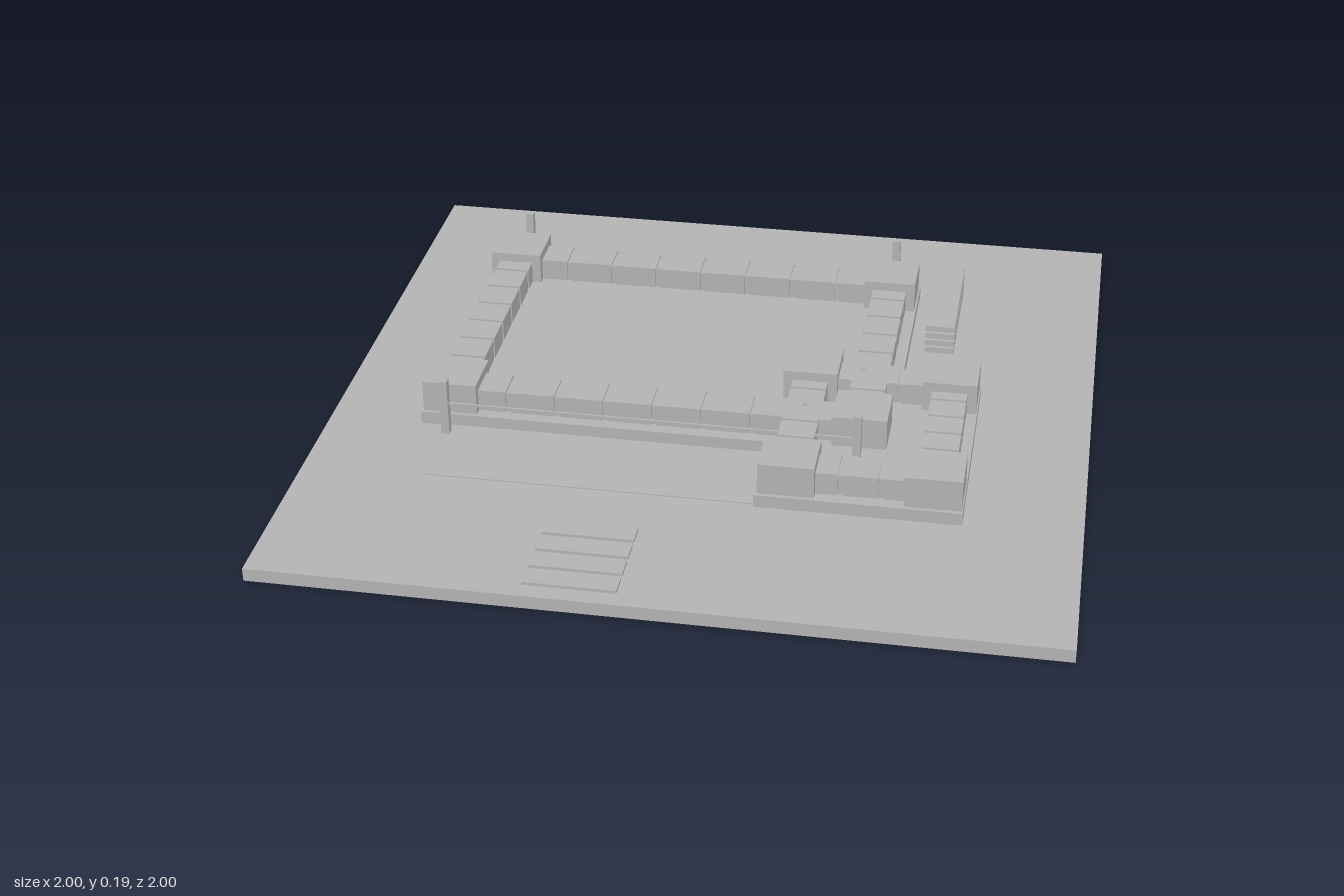
import * as THREE from 'three';

export function createModel() {
  const model = new THREE.Group();
  const stone = new THREE.MeshStandardMaterial({ color: 0xb4b4b4 });
  stone.name = 'grey stone';

  // Box given by its limits on each axis
  function block(name, x0, x1, y0, y1, z0, z1, parent = model) {
    const mesh = new THREE.Mesh(new THREE.BoxGeometry(x1 - x0, y1 - y0, z1 - z0), stone);
    mesh.position.set((x0 + x1) / 2, (y0 + y1) / 2, (z0 + z1) / 2);
    mesh.name = name;
    parent.add(mesh);
  }

  const GROUND = 0.035, FLOOR = 0.07, WALL_TOP = 0.13;

  // Wall of equal segments separated by slightly recessed joints
  function wall(name, alongX, start, end, across, count) {
    const group = new THREE.Group();
    group.name = name;
    const step = (end - start) / count;
    const bar = (part, a, b, half, top) => alongX
      ? block(part, a, b, FLOOR, top, across - half, across + half, group)
      : block(part, across - half, across + half, FLOOR, top, a, b, group);
    bar('wallCore', start, end, 0.041, WALL_TOP - 0.005);
    for (let i = 0; i < count; i++) {
      bar('wallSegment', start + i * step + 0.006, start + (i + 1) * step - 0.006, 0.047, WALL_TOP);
    }
    model.add(group);
  }

  // Four square corner towers joined by walls
  function enclosure(name, x0, x1, z0, z1, countX, countZ, inset) {
    for (const x of [x0, x1]) {
      for (const z of [z0, z1]) {
        block(name + 'Tower', x - 0.072, x + 0.072, FLOOR, 0.155, z - 0.07, z + 0.07);
      }
      wall(name + 'SideWall', false, z0 + inset, z1 - inset, x, countZ);
    }
    for (const z of [z0, z1]) wall(name + 'CrossWall', true, x0 + inset, x1 - inset, z, countX);
  }

  // Ground slab and the thin yard laid on it
  block('groundSlab', -1, 1, 0, GROUND, -1, 1);
  block('yard', -0.68, 0.68, GROUND, 0.038, -0.73, 0.52);

  // Overlapping plinths, the small one a hair lower to keep the tops apart
  block('mainPlinth', -0.753, 0.487, GROUND, FLOOR, -0.635, 0.275);
  block('annexPlinth', 0.175, 0.7, GROUND, FLOOR - 0.0005, -0.1, 0.53);

  enclosure('main', -0.675, 0.41, -0.555, 0.195, 8, 7, 0.022);
  enclosure('annex', 0.255, 0.625, -0.02, 0.45, 3, 5, 0.03);

  // Free-standing posts, with a rail at the front and one along the back wall
  for (const x of [-0.675, 0.41]) {
    for (const z of [-0.675, 0.312]) {
      block('post', x - 0.011, x + 0.011, GROUND, 0.195, z - 0.011, z + 0.011);
    }
  }
  block('frontRail', -0.675, 0.41, 0.122, 0.128, 0.309, 0.315);
  block('backRail', -0.6, 0.34, 0.12, 0.126, -0.605, -0.598);

  // Stacked tiers beside the building, held on a narrower core
  block('tierCore', 0.54, 0.6, GROUND, 0.12, -0.66, -0.315);
  for (let i = 0; i < 4; i++) {
    const y = 0.045 + i * 0.022;
    block('tier', 0.53, 0.61, y, y + 0.016, -0.67, -0.305);
  }

  // Row of low slabs in the forecourt
  for (let i = 0; i < 4; i++) {
    const z = 0.71 + i * 0.072;
    block('forecourtSlab', -0.32, -0.088, GROUND, 0.043, z - 0.028, z + 0.028);
  }

  return model;
}
